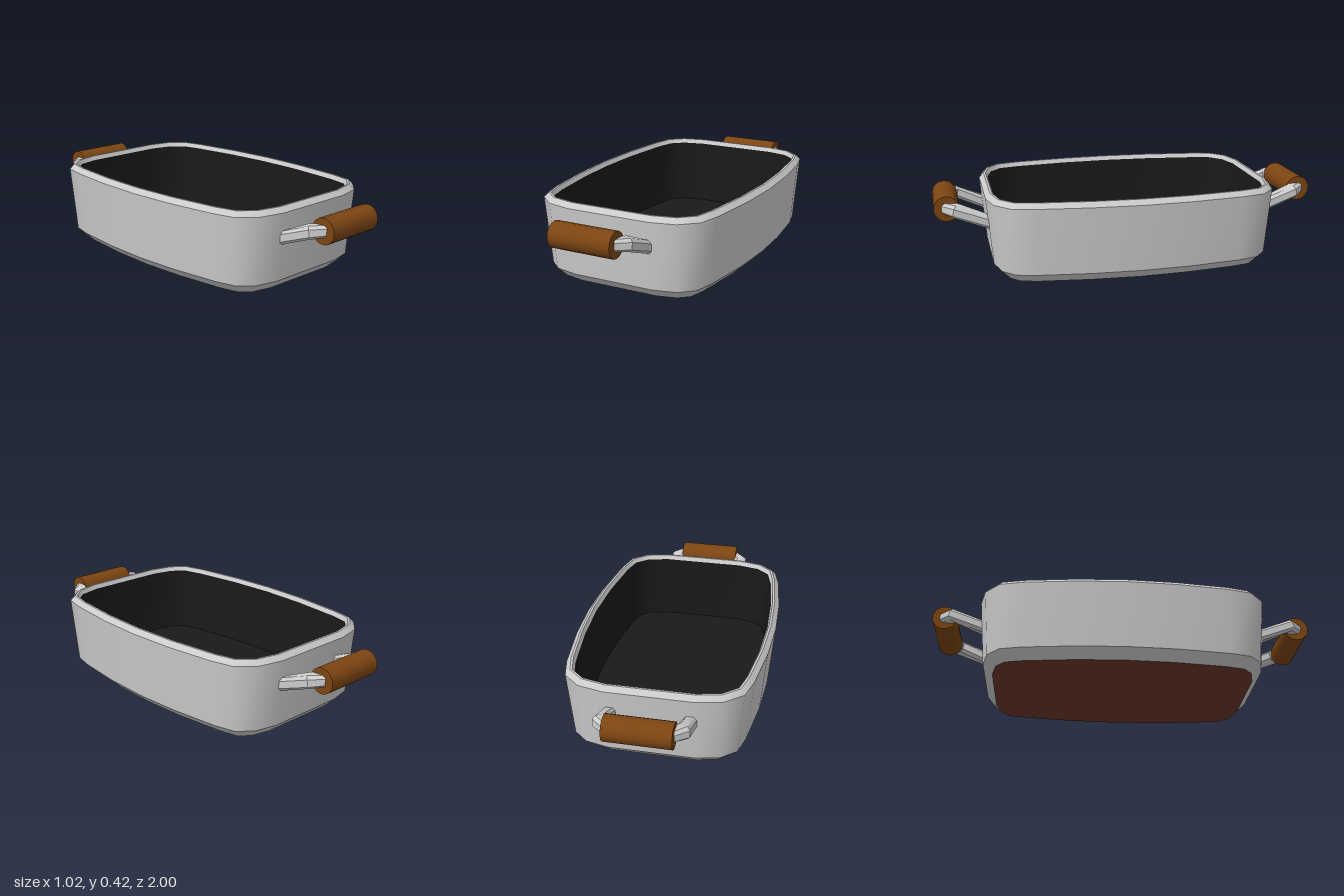
import * as THREE from 'three';
import { toCreasedNormals } from 'three/addons/utils/BufferGeometryUtils.js';

// Quarter of the rim outline (x, z), from the end wall round to the side
const QUARTER = [[0.22, 0.745], [0.35, 0.715], [0.435, 0.64], [0.465, 0.52], [0.497, 0.25], [0.508, 0]];

const OUTLINE = [
  ...QUARTER,
  ...QUARTER.slice(0, 5).reverse().map(([x, z]) => [x, -z]),
  ...QUARTER.map(([x, z]) => [-x, -z]),
  ...QUARTER.slice(0, 5).reverse().map(([x, z]) => [-x, z]),
];

// Outline moved inward by a distance, at height y
function ring(inset, y) {
  const n = OUTLINE.length;
  return OUTLINE.map(([x, z], i) => {
    const [px, pz] = OUTLINE[(i + n - 1) % n];
    const [nx, nz] = OUTLINE[(i + 1) % n];
    const a = new THREE.Vector2(pz - z, x - px).normalize();
    const b = new THREE.Vector2(z - nz, nx - x).normalize();
    const m = a.clone().add(b).normalize();
    m.multiplyScalar(inset / m.dot(b));
    return new THREE.Vector3(x - m.x, y, z - m.y);
  });
}

// Skin between successive rings, with optional flat caps
function loft(rings, capStart = false, capEnd = false) {
  const pos = [];
  const n = rings[0].length;
  const tri = (...pts) => pts.forEach((p) => pos.push(p.x, p.y, p.z));
  const cap = (r, flip) => {
    const c = r.reduce((s, p) => s.add(p), new THREE.Vector3()).divideScalar(n);
    for (let i = 0; i < n; i++) {
      const p = r[i], q = r[(i + 1) % n];
      if (flip) tri(c, q, p); else tri(c, p, q);
    }
  };
  for (let k = 0; k < rings.length - 1; k++) {
    for (let i = 0; i < n; i++) {
      const j = (i + 1) % n, lo = rings[k], hi = rings[k + 1];
      tri(lo[i], lo[j], hi[j]);
      tri(lo[i], hi[j], hi[i]);
    }
  }
  if (capStart) cap(rings[0], true);
  if (capEnd) cap(rings[rings.length - 1], false);
  const geo = new THREE.BufferGeometry();
  geo.setAttribute('position', new THREE.Float32BufferAttribute(pos, 3));
  return toCreasedNormals(geo, 0.65);
}

// Chamfered square section spanned by half-axes u and v
function section(centre, u, v) {
  const k = 0.55;
  return [[1, -k], [1, k], [k, 1], [-k, 1], [-1, k], [-1, -k], [-k, -1], [k, -1]].map(([a, b]) =>
    new THREE.Vector3(...centre).addScaledVector(new THREE.Vector3(...u), a).addScaledVector(new THREE.Vector3(...v), b));
}

export function createModel() {
  const group = new THREE.Group();
  const metal = new THREE.MeshStandardMaterial({ color: 0xcccccc });
  const coating = new THREE.MeshStandardMaterial({ color: 0x191919 });
  const copper = new THREE.MeshStandardMaterial({ color: 0x6b3828 });
  const wood = new THREE.MeshStandardMaterial({ color: 0x7d4512 });

  const add = (parent, name, geo, mat) => {
    const mesh = new THREE.Mesh(geo, mat);
    mesh.name = name;
    parent.add(mesh);
    return mesh;
  };

  // Pan wall: bottom bevel, tapered side and bevelled rim
  add(group, 'panWall', loft([
    ring(0.08, 0), ring(0.03, 0.05), ring(0, 0.395), ring(0.024, 0.42), ring(0.035, 0.42), ring(0.046, 0.398),
  ]), metal);

  // Dark interior wall and floor
  add(group, 'interior', loft([ring(0.046, 0.398), ring(0.068, 0.05)], false, true), coating);

  // Flat underside
  add(group, 'base', loft([ring(0.08, 0), ring(0.08, 0.002)], true), copper);

  // A handle at each end: two bent arms and a round grip
  for (const [name, turn] of [['frontHandle', 0], ['backHandle', Math.PI]]) {
    const handle = new THREE.Group();
    handle.name = name;
    handle.rotation.y = turn;

    const grip = add(handle, 'grip', new THREE.CylinderGeometry(0.065, 0.065, 0.328, 16), wood);
    grip.rotation.z = Math.PI / 2;
    grip.position.set(0, 0.337, 0.935);

    for (const s of [1, -1]) {
      const rings = [
        section([s * 0.196, 0.263, 0.715], [0.031, 0, 0], [0, 0.029, -0.011]),
        section([s * 0.196, 0.333, 0.885], [0.031, 0, s * 0.02], [0, 0.031, -0.006]),
        section([s * 0.145, 0.338, 0.935], [0.022, 0, s * 0.024], [0, 0.029, 0]),
      ];
      // Sections run anticlockwise about the direction of travel
      add(handle, s > 0 ? 'leftArm' : 'rightArm', loft(rings, true, true), metal);
    }
    group.add(handle);
  }
  return group;
}
